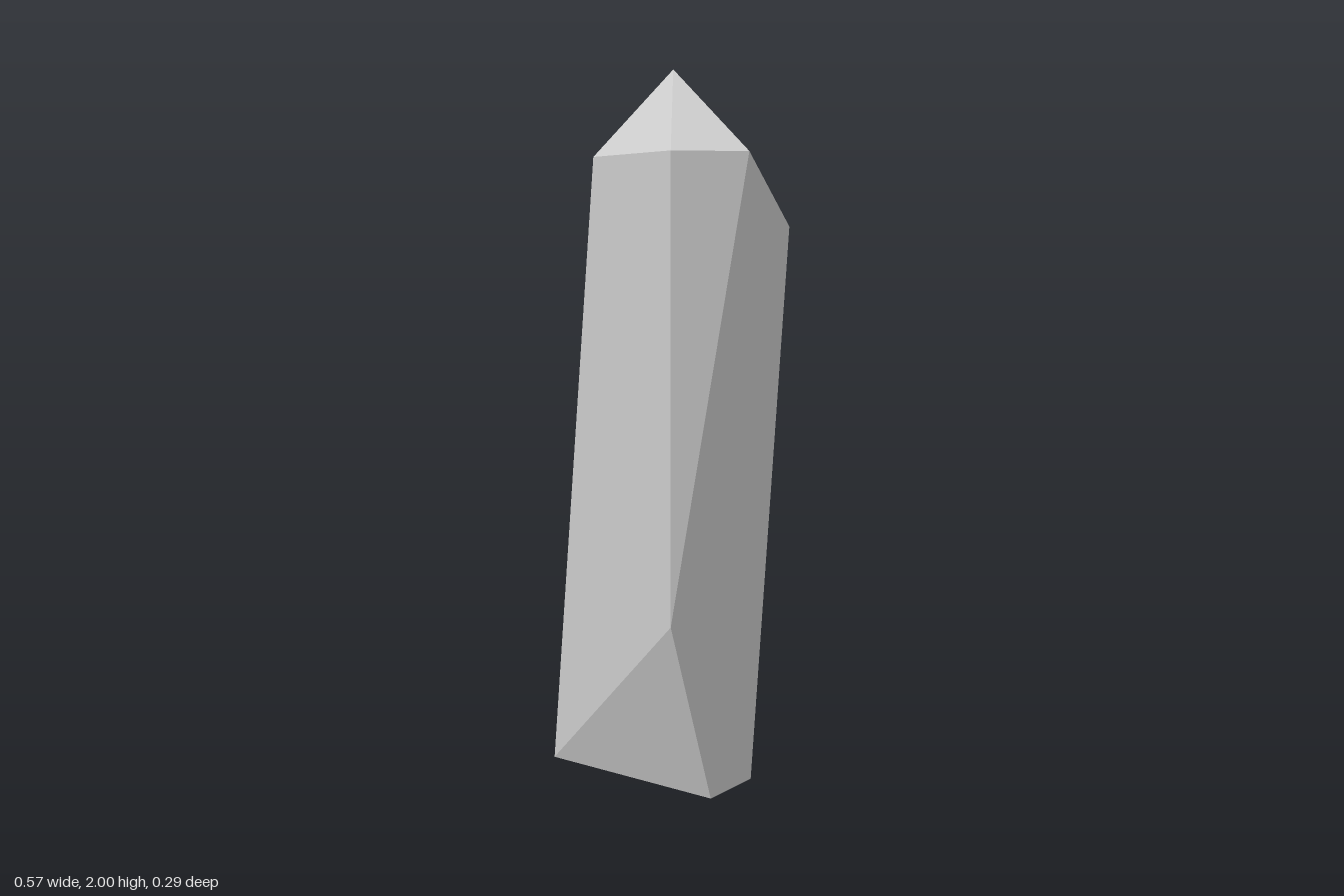
import * as THREE from 'three';
import { ConvexGeometry } from 'three/addons/geometries/ConvexGeometry.js';

export function createModel() {
  const group = new THREE.Group();
  group.name = 'crystalShard';

  // Corners of the leaning, faceted shard, on a grid of 1/7 unit
  const corners = [
    // foot
    [-2, 0, 1], [1, 0, 0], [1, 0, -1], [-2, 0, -1],
    // chipped corners on the sides
    [1, 4, 1], [-2, 5, 0],
    // faceted tip
    [2, 12, -1], [-1, 13, 1], [-1, 14, -1], [1, 14, 1], [2, 14, 0],
  ].map(([x, y, z]) => new THREE.Vector3(x, y, z));

  const geometry = new ConvexGeometry(corners);
  geometry.scale(1 / 7, 1 / 7, 1 / 7);
  geometry.computeVertexNormals();

  const shard = new THREE.Mesh(
    geometry,
    new THREE.MeshStandardMaterial({ color: 0xcccccc, flatShading: true })
  );
  shard.name = 'shard';
  group.add(shard);
  return group;
}
